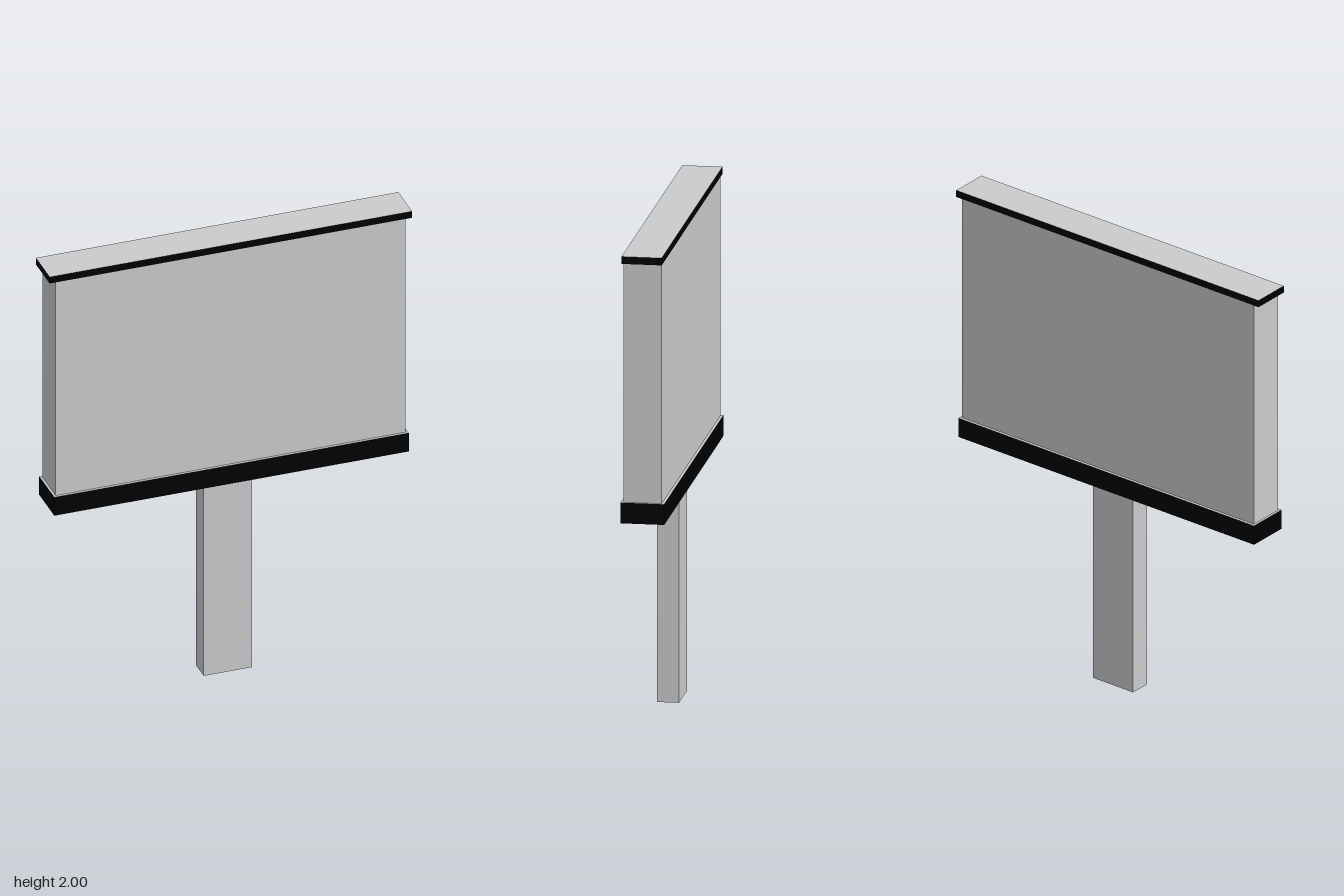
import * as THREE from 'three';

const grey = new THREE.MeshStandardMaterial({ color: 0xcccccc });
const black = new THREE.MeshStandardMaterial({ color: 0x000000 });
// Trim: black around the four sides, grey above and below
const trim = [black, black, grey, grey, black, black];

// Box centred on x and z, spanning y0 to y1
function box(name, width, y0, y1, depth, material) {
  const mesh = new THREE.Mesh(new THREE.BoxGeometry(width, y1 - y0, depth), material);
  mesh.name = name;
  mesh.position.y = (y0 + y1) / 2;
  return mesh;
}

export function createModel() {
  const group = new THREE.Group();
  group.name = 'billboard';
  group.add(
    box('post', 0.206, 0, 0.895, 0.09, grey),
    box('bottomTrim', 1.51, 0.895, 0.98, 0.178, trim),
    box('panel', 1.49, 0.98, 1.97, 0.155, grey),
    box('topTrim', 1.544, 1.97, 2, 0.163, trim),
  );
  return group;
}
